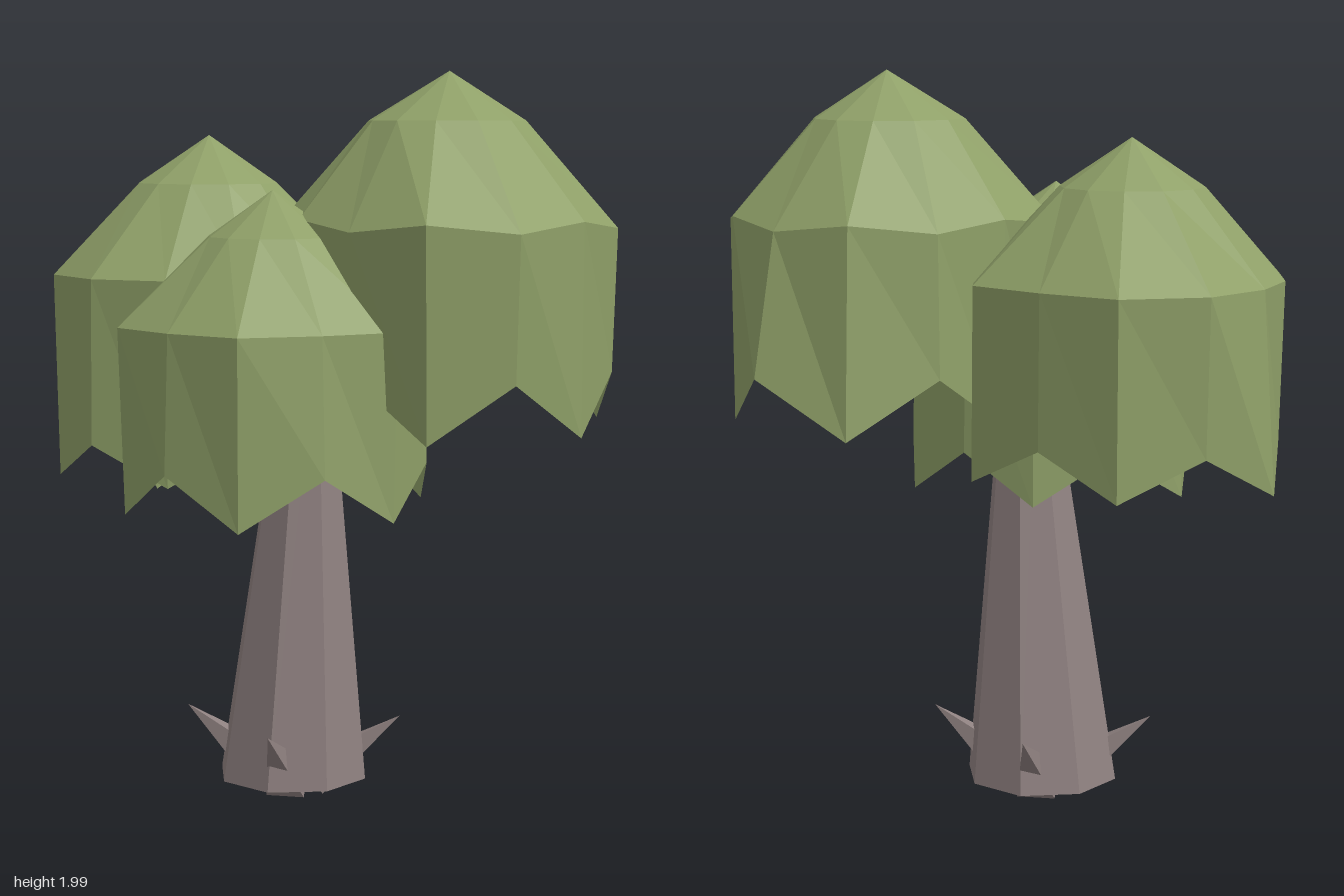
import * as THREE from 'three';

const SIDES = 12;
const leafMat = new THREE.MeshStandardMaterial({ color: 0x8fa068, flatShading: true, side: THREE.DoubleSide });
const barkMat = new THREE.MeshStandardMaterial({ color: 0x8f8180, flatShading: true });

// Open dome: apex, two rings and a skirt with a zigzag hem.
// Each level has a y, an extra y (zig) on every second point, a centre and
// either one radius or twelve radii, counted from +x towards +z.
function canopy(name, apex, levels) {
  const pos = [...apex];
  const index = [];
  for (const { x, z, y, zig = 0, tilt = 0, r } of levels) {
    for (let i = 0; i < SIDES; i++) {
      const a = (i / SIDES) * Math.PI * 2;
      const radius = Array.isArray(r) ? r[i] : r;
      const dz = radius * Math.sin(a);
      pos.push(x + radius * Math.cos(a), y + (i % 2) * zig - tilt * dz, z + dz);
    }
  }
  for (let i = 0; i < SIDES; i++) {
    const j = (i + 1) % SIDES;
    index.push(0, 1 + j, 1 + i);
    for (let k = 0; k < levels.length - 1; k++) {
      const u = 1 + k * SIDES, d = u + SIDES;
      index.push(u + i, u + j, d + i, u + j, d + j, d + i);
    }
  }
  const geo = new THREE.BufferGeometry();
  geo.setAttribute('position', new THREE.Float32BufferAttribute(pos, 3));
  geo.setIndex(index);
  geo.computeVertexNormals();
  const mesh = new THREE.Mesh(geo, leafMat);
  mesh.name = name;
  return mesh;
}

// Tapered eight-sided trunk that leans a little towards +x
function trunk() {
  const h = 1.25;
  const geo = new THREE.CylinderGeometry(0.06, 0.213, h, 8, 1);
  geo.rotateY(Math.PI / 8);
  geo.translate(0, h / 2, 0);
  const p = geo.attributes.position;
  for (let i = 0; i < p.count; i++) p.setX(i, p.getX(i) - 0.077 + 0.047 * p.getY(i));
  geo.translate(0, 0.05, 0.03);
  geo.computeVertexNormals();
  const mesh = new THREE.Mesh(geo, barkMat);
  mesh.name = 'trunk';
  return mesh;
}

// Four-sided spike running from inside the trunk foot out to its tip
function rootSpike(angle) {
  const spike = new THREE.Group();
  spike.name = 'rootSpike';
  const reach = 0.24, rise = 0.18;
  const length = Math.hypot(reach, rise);
  const geo = new THREE.ConeGeometry(0.075, length, 4);
  geo.rotateY(Math.PI / 4);
  geo.translate(0, length / 2, 0);
  geo.rotateZ(-Math.atan2(reach, rise));
  geo.translate(0.065, 0.05, 0);
  const mesh = new THREE.Mesh(geo, barkMat);
  mesh.name = 'spike';
  spike.add(mesh);
  spike.position.set(-0.077, 0, 0.03);
  spike.rotation.y = -angle;
  return spike;
}

export function createModel() {
  const group = new THREE.Group();
  group.name = 'tree';

  group.add(trunk());
  const spikes = new THREE.Group();
  spikes.name = 'rootSpikes';
  for (let i = 0; i < 4; i++) spikes.add(rootSpike(-0.5 + (i * Math.PI) / 2));
  group.add(spikes);

  group.add(
    canopy('tallCanopy', [0.33, 2.0, -0.14], [
      { x: 0.33, z: -0.13, y: 1.87, r: 0.21 },
      { x: 0.345, z: -0.135, y: 1.615, zig: -0.025,
        r: [0.425, 0.45, 0.48, 0.425, 0.43, 0.475, 0.425, 0.44, 0.46, 0.435, 0.43, 0.44] },
      { x: 0.345, z: -0.135, y: 1.06, zig: 0.15,
        r: [0.425, 0.43, 0.45, 0.4, 0.42, 0.43, 0.42, 0.45, 0.51, 0.515, 0.435, 0.43] },
    ]),
    canopy('leftCanopy', [-0.32, 1.83, 0.1], [
      { x: -0.315, z: 0.11, y: 1.7, r: 0.195 },
      { x: -0.33, z: 0.12, y: 1.455, r: [0.42, 0.4, 0.41, 0.425, 0.42, 0.39, 0.4, 0.445, 0.47, 0.425, 0.47, 0.44] },
      { x: -0.33, z: 0.12, y: 0.92, zig: 0.11, tilt: 0.04,
        r: [0.42, 0.39, 0.4, 0.43, 0.41, 0.38, 0.44, 0.43, 0.475, 0.43, 0.475, 0.43] },
    ]),
    canopy('frontCanopy', [0.05, 1.69, 0.25], [
      { x: 0.05, z: 0.245, y: 1.57, r: 0.175 },
      { x: 0.04, z: 0.235, y: 1.34, r: [0.42, 0.39, 0.435, 0.4, 0.425, 0.4, 0.41, 0.4, 0.4, 0.39, 0.4, 0.4] },
      { x: 0.04, z: 0.235, y: 0.85, zig: 0.13, r: [0.41, 0.41, 0.435, 0.415, 0.41, 0.38, 0.44, 0.41, 0.42, 0.4, 0.42, 0.41] },
    ]),
  );
  return group;
}
